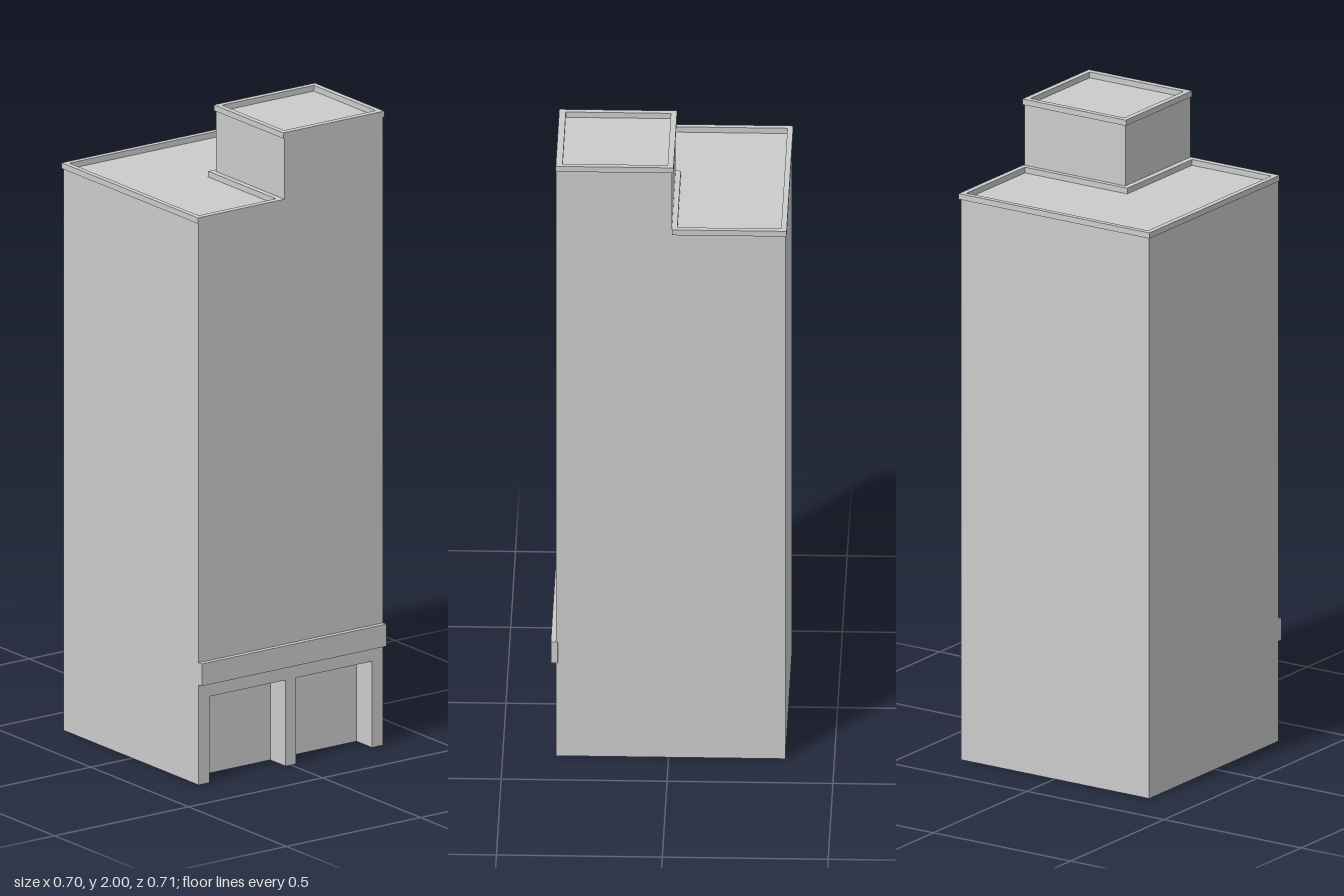
import * as THREE from 'three';

const material = new THREE.MeshStandardMaterial({ color: 0xcccccc, flatShading: true });

// Main wall planes and roof heights
const L = -0.345, R = 0.342, B = -0.352, F = 0.339;
const TOWER_X = -0.025, TOWER_Z = -0.01;
const DOOR_TOP = 0.272, ROOF = 1.772, ROOF_TOP = 1.79, TOWER_ROOF = 1.982, TOP = 2;

// Rectangle corners in plan, as [x, z]
const rect = (x0, x1, z0, z1) => [[x0, z0], [x1, z0], [x1, z1], [x0, z1]];

// L-shaped plan left around the corner tower
const lShape = (x0, x1, z0, z1, cx, cz) =>
  [[x0, z0], [x1, z0], [x1, cz], [cx, cz], [cx, z1], [x0, z1]];

// Extrude a plan outline from y0 to y1; a hole winds opposite to the outline
function slab(name, y0, y1, outline, hole) {
  const points = (list) => list.map(([x, z]) => new THREE.Vector2(x, -z));
  const shape = new THREE.Shape(points(outline));
  if (hole) shape.holes.push(new THREE.Path(points(hole).reverse()));
  const geometry = new THREE.ExtrudeGeometry(shape, { depth: y1 - y0, bevelEnabled: false });
  geometry.rotateX(-Math.PI / 2);
  const mesh = new THREE.Mesh(geometry, material);
  mesh.name = name;
  mesh.position.y = y0;
  return mesh;
}

export function createModel() {
  const model = new THREE.Group();
  model.name = 'towerBlock';

  // Ground storey: hollow walls with two recessed bays between front columns
  const bay = 0.26;
  const groundPlan = [
    [L, B], [R, B], [R, F],
    [0.302, F], [0.302, bay], [0.018, bay], [0.018, F],
    [-0.02, F], [-0.02, bay], [-0.304, bay], [-0.304, F],
    [L, F],
  ];
  model.add(slab('groundStorey', 0, DOOR_TOP, groundPlan, rect(-0.304, 0.302, -0.333, bay - 0.004)));

  // Main shaft and the corner tower above it
  model.add(slab('mainShaft', DOOR_TOP, ROOF, rect(L, R, B, F)));
  model.add(slab('cornerTower', ROOF, TOWER_ROOF, rect(TOWER_X, R, TOWER_Z, F)));

  // Overhanging rims around both roofs
  model.add(slab('mainRoofRim', ROOF, ROOF_TOP,
    lShape(-0.349, 0.347, -0.356, 0.34, TOWER_X, TOWER_Z),
    lShape(-0.332, 0.33, -0.339, 0.32, -0.043, -0.026)));
  model.add(slab('towerRoofRim', TOWER_ROOF, TOP,
    rect(-0.03, 0.347, -0.015, 0.34), rect(-0.012, 0.33, 0.003, 0.32)));

  // Projecting band above the bays
  model.add(slab('frontBand', 0.316, 0.386, rect(-0.345, 0.344, F - 0.005, 0.355)));

  return model;
}
